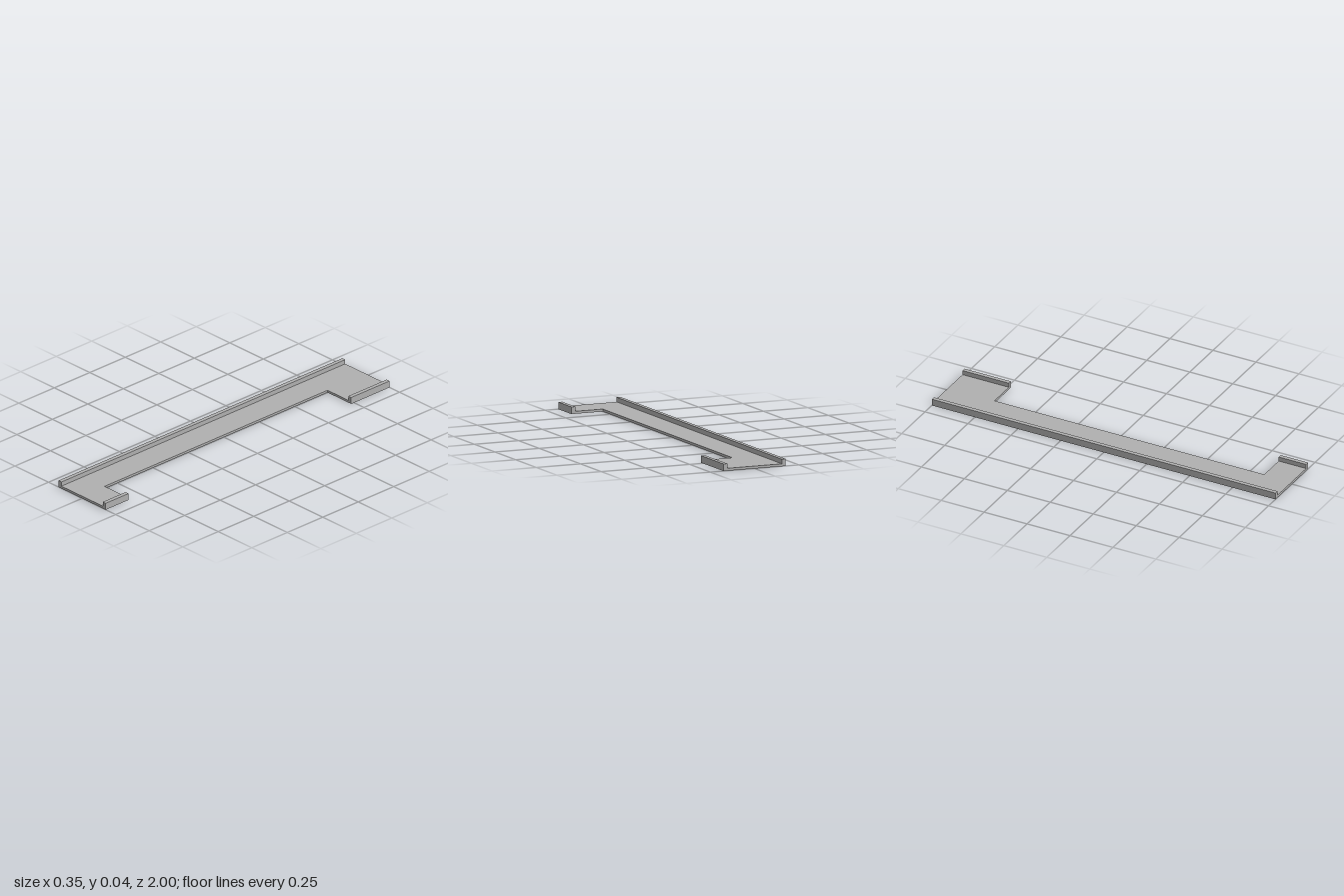
import * as THREE from 'three';

const HALF_W = 0.176, LIP = 0.022, FLOOR = 0.013, HEIGHT = 0.037;
const BACK_TAB = -0.73, FRONT_TAB = 0.84, INNER_X = -0.001;

export function createModel() {
  const group = new THREE.Group();
  const grey = new THREE.MeshStandardMaterial({ color: 0xb0b0b0 });
  grey.name = 'grey';

  const add = (name, geometry) => {
    const mesh = new THREE.Mesh(geometry, grey);
    mesh.name = name;
    group.add(mesh);
    return mesh;
  };

  // C-shaped floor plate, outlined in x and z and extruded upwards
  const outline = [
    [-HALF_W, 1], [HALF_W, 1], [HALF_W, FRONT_TAB], [INNER_X, FRONT_TAB],
    [INNER_X, BACK_TAB], [HALF_W, BACK_TAB], [HALF_W, -1], [-HALF_W, -1],
  ].map(([x, z]) => new THREE.Vector2(x, -z));
  const floor = new THREE.ExtrudeGeometry(new THREE.Shape(outline), { depth: FLOOR, bevelEnabled: false });
  floor.rotateX(-Math.PI / 2);
  add('floorPlate', floor);

  // Raised lips along the outer edges
  const lip = (name, side, z0, z1) => {
    const mesh = add(name, new THREE.BoxGeometry(LIP, HEIGHT - FLOOR, z1 - z0));
    mesh.position.set(side * (HALF_W - LIP / 2), (HEIGHT + FLOOR) / 2, (z0 + z1) / 2);
  };
  lip('longLip', -1, -1, 1);
  lip('frontTabLip', 1, FRONT_TAB, 1);
  lip('backTabLip', 1, -1, BACK_TAB);

  return group;
}
